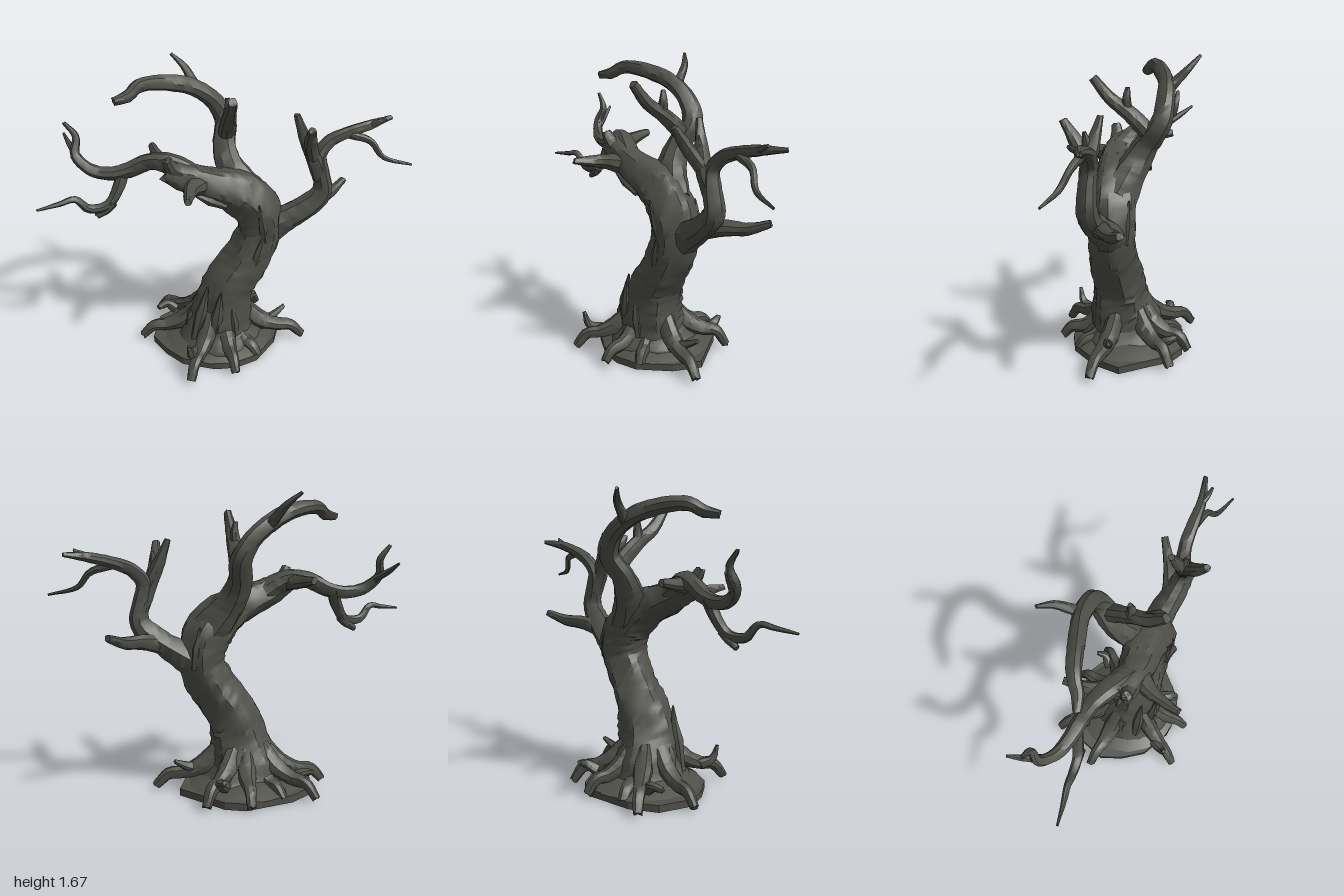
import * as THREE from 'three';
import { toCreasedNormals } from 'three/addons/utils/BufferGeometryUtils.js';

const bark = new THREE.MeshStandardMaterial({ color: 0x50504a });
bark.name = 'dark bark';

let seed = 7;
const rand = () => ((seed = (seed * 16807) % 2147483647) / 2147483647);

// Gnarled tapering limb through points [x, y, z, radius], with ridged bark and a splintered end
function limb(points, { sides = 9, steps = 5, ridge = 0.09, jag = 0.6 } = {}) {
  const curve = new THREE.CatmullRomCurve3(points.map(p => new THREE.Vector3(p[0], p[1], p[2])));
  const n = (points.length - 1) * steps;
  const frames = curve.computeFrenetFrames(n);
  const pos = [], idx = [];
  const phase = rand() * 6;
  const lobes = sides > 12 ? 5 : 3;
  for (let i = 0; i <= n; i++) {
    const c = curve.getPointAt(i / n);
    const f = curve.getUtoTmapping(i / n) * (points.length - 1);
    const k = Math.min(Math.floor(f), points.length - 2);
    const r = THREE.MathUtils.lerp(points[k][3], points[k + 1][3], f - k);
    for (let j = 0; j < sides; j++) {
      const a = (j / sides) * Math.PI * 2;
      const wave = Math.sin(a * lobes + phase + i * 0.18) + 0.5 * Math.sin(a * 2 - i * 0.5);
      const rr = r * (1 + ridge * (wave * 0.6 + (rand() - 0.5) * 0.8));
      const v = c.clone()
        .addScaledVector(frames.normals[i], Math.cos(a) * rr)
        .addScaledVector(frames.binormals[i], Math.sin(a) * rr);
      if (i === n) v.addScaledVector(frames.tangents[i], (rand() - 0.5) * r * jag);
      pos.push(v.x, v.y, v.z);
    }
  }
  const start = pos.length / 3;
  for (const u of [0, 1]) pos.push(...curve.getPointAt(u).toArray());
  for (let j = 0; j < sides; j++) {
    const j2 = (j + 1) % sides;
    for (let i = 0; i < n; i++) {
      const a = i * sides + j, b = a + sides, d = i * sides + j2, c = d + sides;
      idx.push(a, d, c, a, c, b);
    }
    idx.push(j2, j, start, n * sides + j, n * sides + j2, start + 1);
  }
  const g = new THREE.BufferGeometry();
  g.setAttribute('position', new THREE.Float32BufferAttribute(pos, 3));
  g.setIndex(idx);
  return toCreasedNormals(g, 0.6);
}

export function createModel() {
  const tree = new THREE.Group();
  tree.name = 'deadTree';
  const add = (name, geometry) => {
    const m = new THREE.Mesh(geometry, bark);
    m.name = name;
    tree.add(m);
  };

  // Irregular ground slab
  const outline = [[-0.42, -0.05], [-0.35, -0.24], [-0.2, -0.32], [0.08, -0.345], [0.18, -0.29], [0.25, -0.18], [0.355, -0.02],
    [0.28, 0.13], [0.13, 0.27], [0, 0.305], [-0.12, 0.29], [-0.29, 0.2], [-0.37, 0.08]];
  const slab = new THREE.ExtrudeGeometry(
    new THREE.Shape(outline.map(([x, z]) => new THREE.Vector2(x, -z))),
    { depth: 0.04, bevelEnabled: false });
  slab.rotateX(-Math.PI / 2);
  add('groundSlab', slab);

  // Mound sloping from the slab edge up to the trunk foot
  const mound = new THREE.CylinderGeometry(0.2, 0.325, 0.06, 16);
  mound.translate(-0.03, 0.068, -0.02);
  add('rootMound', toCreasedNormals(mound, 0.6));

  // Leaning trunk, bending over into the broken left limb
  add('trunk', limb([
    [-0.03, 0.04, 0, 0.26], [-0.03, 0.14, 0, 0.2], [-0.01, 0.27, 0.02, 0.162], [0.03, 0.42, 0.03, 0.145],
    [0.13, 0.58, 0.04, 0.13], [0.2, 0.74, 0.04, 0.125], [0.17, 0.89, 0.045, 0.132], [0.06, 1.005, 0.05, 0.12],
    [-0.1, 1.075, 0.065, 0.092], [-0.22, 1.125, 0.065, 0.078], [-0.32, 1.17, 0.06, 0.055],
  ], { sides: 20, ridge: 0.1, jag: 1 }));

  // Limbs, branches and twigs
  const branches = {
    upperLimb: [[0.15, 0.94, 0.02, 0.11], [0.06, 1.08, -0.05, 0.085], [0.035, 1.2, -0.12, 0.066],
      [0.06, 1.32, -0.2, 0.058], [0, 1.43, -0.22, 0.05], [-0.12, 1.52, -0.21, 0.046],
      [-0.28, 1.575, -0.16, 0.042], [-0.42, 1.585, -0.11, 0.036], [-0.48, 1.55, -0.07, 0.032], [-0.56, 1.535, -0.04, 0.02]],
    upperTwig: [[-0.08, 1.48, -0.21, 0.035], [-0.11, 1.54, -0.27, 0.026], [-0.14, 1.6, -0.33, 0.02], [-0.2, 1.66, -0.385, 0.009]],
    upperStub: [[0.05, 1.26, -0.15, 0.05], [0.03, 1.37, -0.03, 0.042], [0.01, 1.45, 0.08, 0.035], [0.005, 1.555, 0.17, 0.024]],
    upperStubFork: [[0.02, 1.38, -0.02, 0.03], [0.03, 1.45, -0.015, 0.024], [0.025, 1.51, -0.02, 0.012]],
    leftLimb: [[-0.18, 1.12, 0.05, 0.07], [-0.3, 1.19, 0, 0.056], [-0.4, 1.185, -0.05, 0.046],
      [-0.5, 1.135, -0.08, 0.042], [-0.6, 1.115, -0.1, 0.037], [-0.7, 1.135, -0.13, 0.033],
      [-0.77, 1.21, -0.18, 0.026], [-0.755, 1.3, -0.21, 0.02], [-0.81, 1.38, -0.22, 0.01]],
    leftTwig: [[-0.75, 1.19, -0.17, 0.022], [-0.79, 1.24, -0.25, 0.016], [-0.815, 1.285, -0.31, 0.007]],
    leftLowBranch: [[-0.53, 1.13, -0.09, 0.036], [-0.57, 1.03, -0.07, 0.032], [-0.63, 0.955, -0.05, 0.028],
      [-0.73, 0.95, -0.04, 0.024], [-0.8, 1.02, -0.03, 0.018], [-0.88, 1.01, -0.015, 0.014], [-1, 0.995, 0, 0.006]],
    leftLowStub: [[-0.6, 0.97, -0.05, 0.03], [-0.64, 0.93, -0.05, 0.026], [-0.69, 0.895, -0.055, 0.016]],
    leftFrontStub: [[-0.15, 1.09, 0.09, 0.065], [-0.22, 1.11, 0.19, 0.04], [-0.25, 1.12, 0.28, 0.028], [-0.27, 1.13, 0.36, 0.017]],
    leftBackStub: [[-0.28, 1.17, 0.04, 0.055], [-0.33, 1.18, -0.09, 0.038], [-0.35, 1.2, -0.23, 0.02]],
    leftTopStub: [[-0.24, 1.14, 0.08, 0.045], [-0.3, 1.2, 0.09, 0.036], [-0.325, 1.25, 0.1, 0.026]],
    rightLimb: [[0.2, 0.72, 0.03, 0.1], [0.33, 0.8, 0.05, 0.08], [0.45, 0.88, 0.08, 0.066], [0.535, 0.97, 0.1, 0.056],
      [0.52, 1.1, 0.1, 0.046], [0.51, 1.19, 0.09, 0.04], [0.57, 1.26, 0.08, 0.036], [0.67, 1.3, 0.08, 0.033],
      [0.79, 1.33, 0.08, 0.027], [0.93, 1.35, 0.05, 0.012]],
    rightTwig: [[0.68, 1.29, 0.09, 0.025], [0.79, 1.25, 0.12, 0.018], [0.85, 1.17, 0.16, 0.015], [1, 1.13, 0.21, 0.006]],
    rightTwigFork: [[0.78, 1.33, 0.08, 0.02], [0.83, 1.35, 0.1, 0.015], [0.87, 1.37, 0.11, 0.007]],
    rightStub: [[0.52, 1.06, 0.1, 0.045], [0.475, 1.17, 0.11, 0.042], [0.43, 1.28, 0.09, 0.036], [0.38, 1.42, 0.06, 0.016]],
    rightStubFork: [[0.46, 1.2, 0.12, 0.038], [0.42, 1.3, 0.18, 0.036], [0.4, 1.4, 0.245, 0.02]],
    rightStubSplinter: [[0.44, 1.25, 0.11, 0.03], [0.44, 1.3, 0.12, 0.022], [0.445, 1.35, 0.13, 0.01]],
    rightSpur: [[0.42, 0.85, 0.07, 0.055], [0.54, 0.88, 0.02, 0.042], [0.64, 0.89, -0.03, 0.032], [0.74, 0.93, -0.09, 0.02]],
  };
  for (const [name, path] of Object.entries(branches)) add(name, limb(path));

  // Roots run out level from the trunk foot, then bend down over the slab edge: [end x, end z, crest height, radius]
  const roots = [[-0.475, -0.1, 0.1, 0.033], [-0.28, 0.38, 0.11, 0.033], [-0.02, 0.37, 0.09, 0.033],
    [0.14, 0.25, 0.08, 0.033], [0.455, 0.12, 0.1, 0.034], [0.28, -0.29, 0.12, 0.034], [0.06, -0.375, 0.11, 0.034],
    [-0.15, -0.31, 0.08, 0.034], [-0.32, -0.37, 0.11, 0.033]];
  roots.forEach(([x, z, h, r], i) => {
    const at = (k, y, s) => [-0.03 + (x + 0.03) * k, y, z * k, r * s];
    add('root' + (i + 1), limb([at(0.24, 0.26, 1.4), at(0.46, h + 0.045, 1.6), at(0.68, h, 1.2), at(0.86, h * 0.9, 1), at(1, 0.025, 0.75)]));
  });

  // Upturned broken root ends
  const rootStubs = [
    [[0.2, 0.11, 0.07, 0.04], [0.29, 0.14, 0.05, 0.026], [0.37, 0.185, 0.03, 0.012]],
    [[-0.22, 0.11, 0.24, 0.034], [-0.26, 0.14, 0.3, 0.024], [-0.28, 0.22, 0.32, 0.01]],
    [[-0.25, 0.1, -0.22, 0.036], [-0.3, 0.13, -0.24, 0.026], [-0.36, 0.12, -0.22, 0.016]],
    [[0.16, 0.1, -0.22, 0.036], [0.2, 0.14, -0.27, 0.026], [0.19, 0.16, -0.32, 0.014]],
  ];
  for (const path of rootStubs) add('rootStub', limb(path));

  // Splintered bark strips standing off the trunk: [foot], [tip], radius
  const strips = [
    [[-0.2, 0.1, 0.1], [-0.12, 0.45, 0.11], 0.035], [[-0.1, 0.12, 0.155], [-0.06, 0.44, 0.18], 0.035],
    [[0.03, 0.1, 0.16], [0.0, 0.36, 0.165], 0.032], [[-0.22, 0.1, 0], [-0.16, 0.32, 0.02], 0.035],
    [[0.13, 0.52, 0.135], [0.19, 0.78, 0.165], 0.028], [[0.21, 0.68, 0.135], [0.15, 0.97, 0.185], 0.028],
    [[0.27, 0.72, -0.05], [0.24, 0.95, -0.06], 0.028], [[-0.02, 0.96, 0.125], [-0.2, 1.06, 0.14], 0.03],
    [[0.05, 1.09, 0.06], [-0.12, 1.15, 0.06], 0.03],
  ];
  for (const [a, b, r] of strips) {
    const mid = a.map((v, i) => (v + b[i]) / 2);
    add('barkStrip', limb([[...a, r * 0.7], [...mid, r], [...b, r * 0.15]], { sides: 6, steps: 3 }));
  }
  return tree;
}
